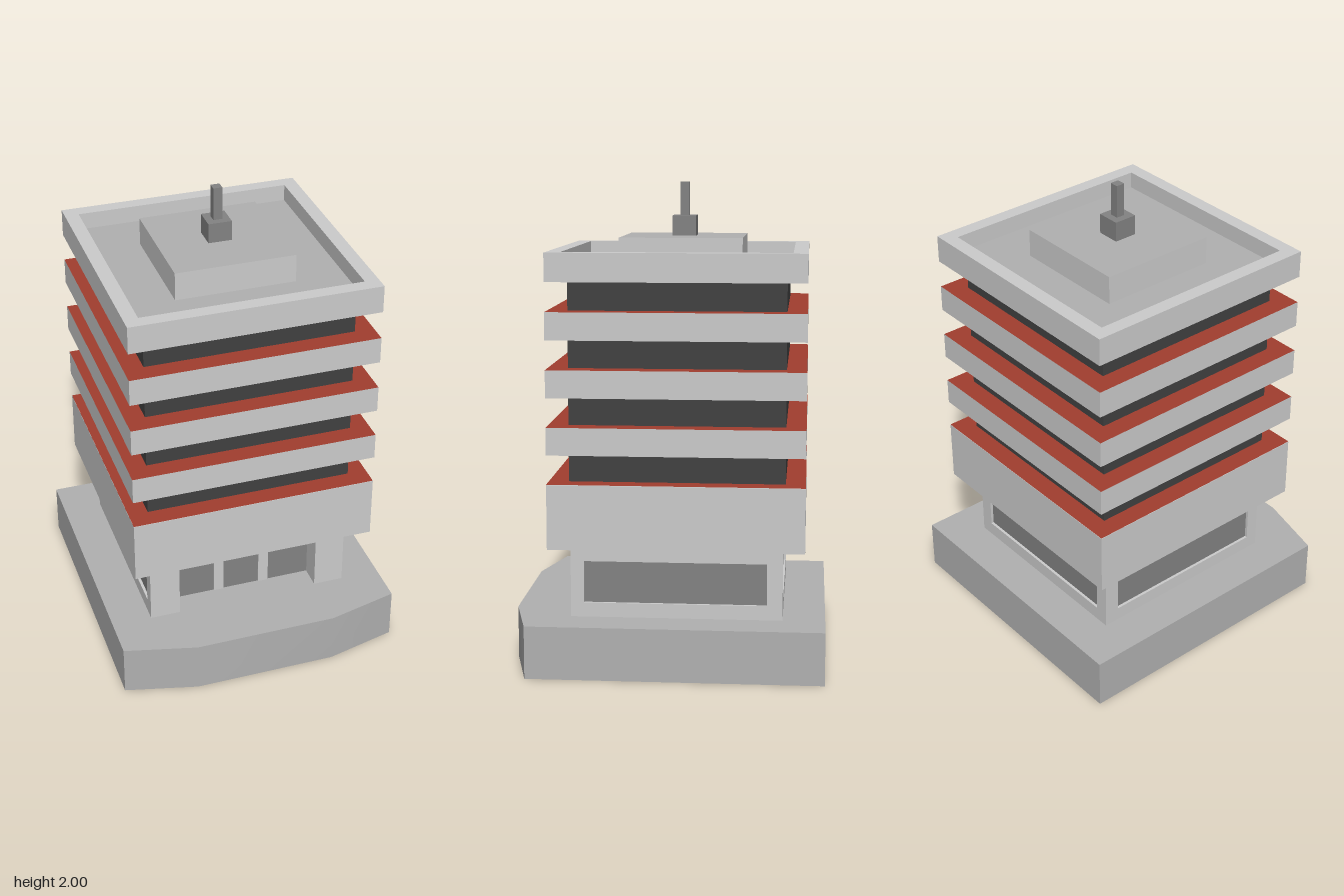
import * as THREE from 'three';
import { toCreasedNormals } from 'three/addons/utils/BufferGeometryUtils.js';

const paint = (color) => new THREE.MeshStandardMaterial({ color, side: THREE.DoubleSide });
const CZ = -0.04; // centre line of the tower, in z

// plan outlines are [x, z] lists, counter-clockwise seen from above
const square = (r) => [[-r, CZ + r], [r, CZ + r], [r, CZ - r], [-r, CZ - r]];
const footprint = [
  [-0.44, 0.4], [-0.31, 0.4], [-0.31, 0.3], [0.31, 0.3], [0.31, 0.4], [0.44, 0.4],
  [0.44, -0.475], [-0.44, -0.475],
];
const baseOutline = [
  [-0.61, 0.57], [-0.305, 0.645], [0.305, 0.645], [0.61, 0.57], [0.61, -0.65], [-0.61, -0.65],
];

function planShape(points, hole) {
  const toVec = ([x, z]) => new THREE.Vector2(x, -z);
  const shape = new THREE.Shape(points.map(toVec));
  if (hole) shape.holes.push(new THREE.Path(hole.map(toVec)));
  return shape;
}

// flat sheet at height y
function sheet(points, hole, y) {
  return new THREE.ShapeGeometry(planShape(points, hole)).rotateX(-Math.PI / 2).translate(0, y, 0);
}

// solid ring between two heights
function ring(points, hole, y0, y1) {
  return new THREE.ExtrudeGeometry(planShape(points, hole), { depth: y1 - y0, bevelEnabled: false })
    .rotateX(-Math.PI / 2).translate(0, y0, 0);
}

// open band of wall around an outline
function wallLoop(points, y0, y1) {
  const pos = [];
  points.forEach(([ax, az], i) => {
    const [bx, bz] = points[(i + 1) % points.length];
    pos.push(ax, y0, az, bx, y0, bz, bx, y1, bz, ax, y0, az, bx, y1, bz, ax, y1, az);
  });
  const g = new THREE.BufferGeometry();
  g.setAttribute('position', new THREE.Float32BufferAttribute(pos, 3));
  return toCreasedNormals(g, 0.5);
}

// box from its limits
function block(x0, x1, y0, y1, z0, z1) {
  return new THREE.BoxGeometry(x1 - x0, y1 - y0, z1 - z0)
    .translate((x0 + x1) / 2, (y0 + y1) / 2, (z0 + z1) / 2);
}
const tower = (r, y0, y1) => block(-r, r, y0, y1, CZ - r, CZ + r);

export function createModel() {
  const model = new THREE.Group();
  const grey = paint(0xcccccc), stone = paint(0xb1b1b1), glass = paint(0x838383);
  const dark = paint(0x414141), red = paint(0xa13e2f);

  const add = (name, geometry, material, parent = model) => {
    const mesh = new THREE.Mesh(geometry, material);
    mesh.name = name;
    parent.add(mesh);
    return mesh;
  };

  // hollow base with a bowed front
  add('baseWall', wallLoop(baseOutline, 0, 0.22), stone);
  add('baseDeck', sheet(baseOutline, footprint, 0.22), stone);

  // framed window wall, built facing +z along u
  function windowWall(name, u0, u1, w0, w1) {
    const wall = new THREE.Group();
    wall.name = name;
    const rect = (a, b, c, d) => [[a, c], [b, c], [b, d], [a, d]].map((p) => new THREE.Vector2(...p));
    const shape = new THREE.Shape(rect(u0, u1, 0.22, 0.52));
    shape.holes.push(new THREE.Path(rect(w0, w1, 0.28, 0.455)));
    const frame = new THREE.ExtrudeGeometry(shape, { depth: 0.02, bevelEnabled: false });
    add('windowFrame', frame.translate(0, 0, -0.02), grey, wall);
    add('windowPane', block(w0, w1, 0.28, 0.455, -0.02, -0.012), glass, wall);
    model.add(wall);
    return wall;
  }

  // ground floor: side and back walls
  const sideA = windowWall('leftWall', -0.4, 0.475, -0.345, 0.41);
  sideA.rotation.y = Math.PI / 2;
  sideA.position.x = 0.44;
  const sideB = windowWall('rightWall', -0.475, 0.4, -0.41, 0.345);
  sideB.rotation.y = -Math.PI / 2;
  sideB.position.x = -0.44;
  const back = windowWall('backWall', -0.42, 0.42, -0.38, 0.38);
  back.rotation.y = Math.PI;
  back.position.z = -0.475;

  // entrance: corner piers, doors and mullions
  for (const s of [-1, 1]) {
    const span = (a, b) => [Math.min(s * a, s * b), Math.max(s * a, s * b)];
    add('entrancePier', block(...span(0.31, 0.42), 0.22, 0.52, 0.38, 0.4), grey);
    add('entranceReturn', block(...span(0.31, 0.33), 0.22, 0.52, 0.29, 0.38), grey);
    add('doorMullion', block(...span(0.08, 0.125), 0.22, 0.52, 0.28, 0.305), grey);
    add('sideDoor', block(...span(0.125, 0.31), 0.22, 0.52, 0.285, 0.3), glass);
  }
  add('middleDoor', block(-0.08, 0.08, 0.22, 0.52, 0.285, 0.3), glass);

  // hollow first-floor block with a red terrace
  add('lowerBlock', ring(square(0.525), footprint, 0.52, 0.788), grey);
  add('lowerTerrace', sheet(square(0.525), null, 0.79), red);

  // window storeys and projecting bands with red tops
  const pitch = 0.2335;
  for (let i = 0; i < 4; i++) {
    const y = 0.79 + i * pitch;
    add('windowStorey', tower(0.443, y, y + 0.12), dark);
    if (i < 3) add('floorBand', tower(0.525, y + 0.12, y + pitch), [grey, grey, red, grey, grey, grey]);
  }

  // roof: parapet, deck, plant room and mast
  add('roofParapet', ring(square(0.525), square(0.465), 1.61, 1.727), grey);
  add('roofDeck', tower(0.465, 1.61, 1.655), stone);
  add('plantRoom', tower(0.255, 1.655, 1.775), [grey, grey, stone, grey, grey, grey]);
  add('mastBase', tower(0.05, 1.775, 1.86), glass);
  add('mast', tower(0.019, 1.86, 2), glass);

  return model;
}
